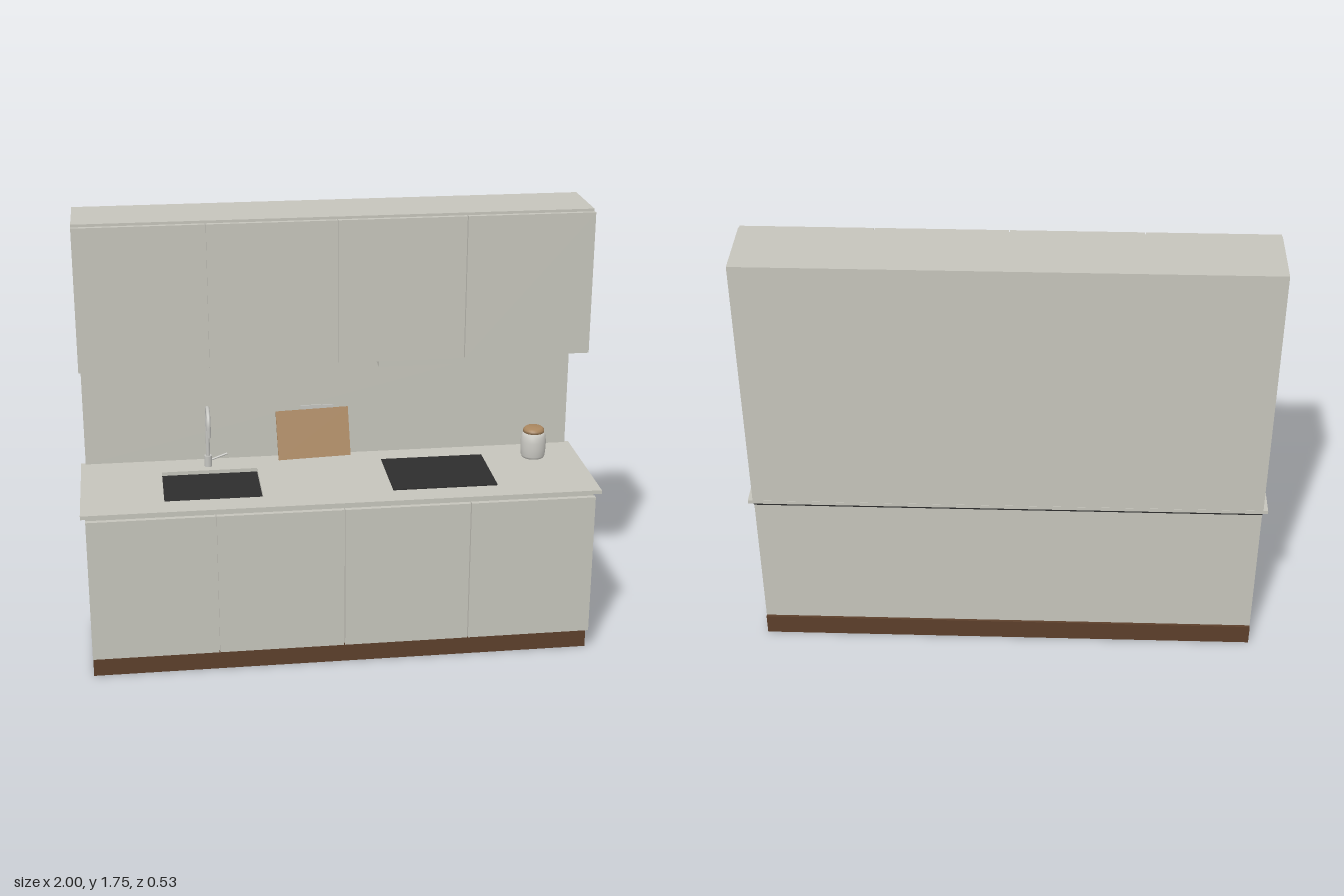
import * as THREE from 'three';

const mat = (name, color, side = THREE.FrontSide) => {
  const m = new THREE.MeshStandardMaterial({ color, side });
  m.name = name;
  return m;
};

export function createModel() {
  const kitchen = new THREE.Group();
  kitchen.name = 'kitchen';
  const stone = mat('warm grey', 0xc5c4bb);
  const dark = mat('charcoal', 0x2d2d2d);
  const brown = mat('dark wood', 0x5c3f2b);
  const wood = mat('light wood', 0xaa8760);
  const metal = mat('steel', 0xc4c4c0);
  const ceramic = mat('ceramic', 0xcbcac4, THREE.DoubleSide);

  const add = (name, geometry, material, parent = kitchen) => {
    const mesh = new THREE.Mesh(geometry, material);
    mesh.name = name;
    parent.add(mesh);
    return mesh;
  };
  // Box given by its limits on each axis
  const box = (name, material, [x0, x1], [y0, y1], [z0, z1]) => {
    const mesh = add(name, new THREE.BoxGeometry(x1 - x0, y1 - y0, z1 - z0), material);
    mesh.position.set((x0 + x1) / 2, (y0 + y1) / 2, (z0 + z1) / 2);
    return mesh;
  };
  const full = [-0.982, 0.982];

  // Carcasses, plinth and recessed strip
  box('plinth', brown, full, [0, 0.085], [-0.25, 0.21]);
  box('baseCabinet', stone, full, [0.085, 0.672], [-0.24, 0.217]);
  box('shadowStrip', dark, full, [0.672, 0.69], [-0.25, 0.217]);
  box('wallCabinet', stone, full, [1.182, 1.755], [-0.264, 0.009]);
  box('backsplash', stone, full, [0.705, 1.182], [-0.264, -0.253]);
  box('extractorHood', stone, [0.165, 0.655], [1.153, 1.182], [-0.25, -0.002]);

  // Four doors on each row, standing just clear of the carcass
  for (let i = 0; i < 4; i++) {
    const x0 = -0.982 + i * 0.491;
    const span = [x0 + (i ? 0.002 : 0), x0 + 0.491 - (i < 3 ? 0.002 : 0)];
    box('baseDoor', stone, span, [0.092, 0.67], [0.231, 0.25]);
    box('wallDoor', stone, span, [1.19, 1.747], [0.018, 0.036]);
  }

  // Worktop in four pieces around the sink opening
  const topY = [0.69, 0.705];
  box('worktopLeft', stone, [-1, -0.682], topY, [-0.265, 0.265]);
  box('worktopRight', stone, [-0.304, 1], topY, [-0.265, 0.265]);
  box('worktopFront', stone, [-0.682, -0.304], topY, [0.162, 0.265]);
  box('worktopBack', stone, [-0.682, -0.304], topY, [-0.265, -0.13]);
  box('hob', dark, [0.2, 0.61], [0.705, 0.71], [-0.15, 0.165]);

  // Tap: body, swan neck and lever
  const tap = new THREE.Group();
  tap.name = 'tap';
  tap.position.set(-0.495, 0.705, -0.178);
  kitchen.add(tap);
  add('tapBody', new THREE.CylinderGeometry(0.015, 0.015, 0.045, 24), metal, tap).position.y = 0.0225;
  const neck = new THREE.CurvePath();
  const v = (y, z) => new THREE.Vector3(0, y, z);
  const r = 0.059;
  const k = r * 0.5523;
  neck.add(new THREE.LineCurve3(v(0.04, 0), v(0.206, 0)));
  neck.add(new THREE.CubicBezierCurve3(v(0.206, 0), v(0.206 + k, 0), v(0.206 + r, r - k), v(0.206 + r, r)));
  neck.add(new THREE.CubicBezierCurve3(v(0.206 + r, r), v(0.206 + r, r + k), v(0.206 + k, 2 * r), v(0.206, 2 * r)));
  neck.add(new THREE.LineCurve3(v(0.206, 2 * r), v(0.165, 2 * r)));
  add('tapNeck', new THREE.TubeGeometry(neck, 60, 0.008, 12), metal, tap);
  const spoutEnd = add('spoutEnd', new THREE.CircleGeometry(0.008, 12), metal, tap);
  spoutEnd.position.set(0, 0.165, 2 * r);
  spoutEnd.rotation.x = Math.PI / 2;
  const lever = add('tapLever', new THREE.CylinderGeometry(0.004, 0.004, 0.07, 12), metal, tap);
  lever.position.set(0.044, 0.038, 0);
  lever.rotation.z = -1.22;

  // Chopping board leaning on the wall, and the small slot plate behind it
  const board = add('choppingBoard', new THREE.BoxGeometry(0.292, 0.197, 0.014), wood);
  board.position.set(-0.068, 0.808, -0.219);
  board.rotation.set(-0.24, 0, 0.03);
  box('wallPlate', metal, [-0.115, 0.02], [0.895, 0.918], [-0.253, -0.248]);

  // Storage jar with a wooden lid
  const lathe = (pts) => new THREE.LatheGeometry(pts.map(([x, y]) => new THREE.Vector2(x, y)), 32);
  const jar = new THREE.Group();
  jar.name = 'jar';
  jar.position.set(0.816, 0.705, -0.118);
  kitchen.add(jar);
  add('jarBody', lathe([[0, 0.001], [0.044, 0.001], [0.048, 0.01], [0.051, 0.04], [0.051, 0.07],
    [0.048, 0.092], [0.041, 0.107], [0, 0.108]]), ceramic, jar);
  add('jarLid', lathe([[0, 0.107], [0.042, 0.107], [0.042, 0.118], [0.034, 0.126], [0, 0.127]]), wood, jar);

  return kitchen;
}
